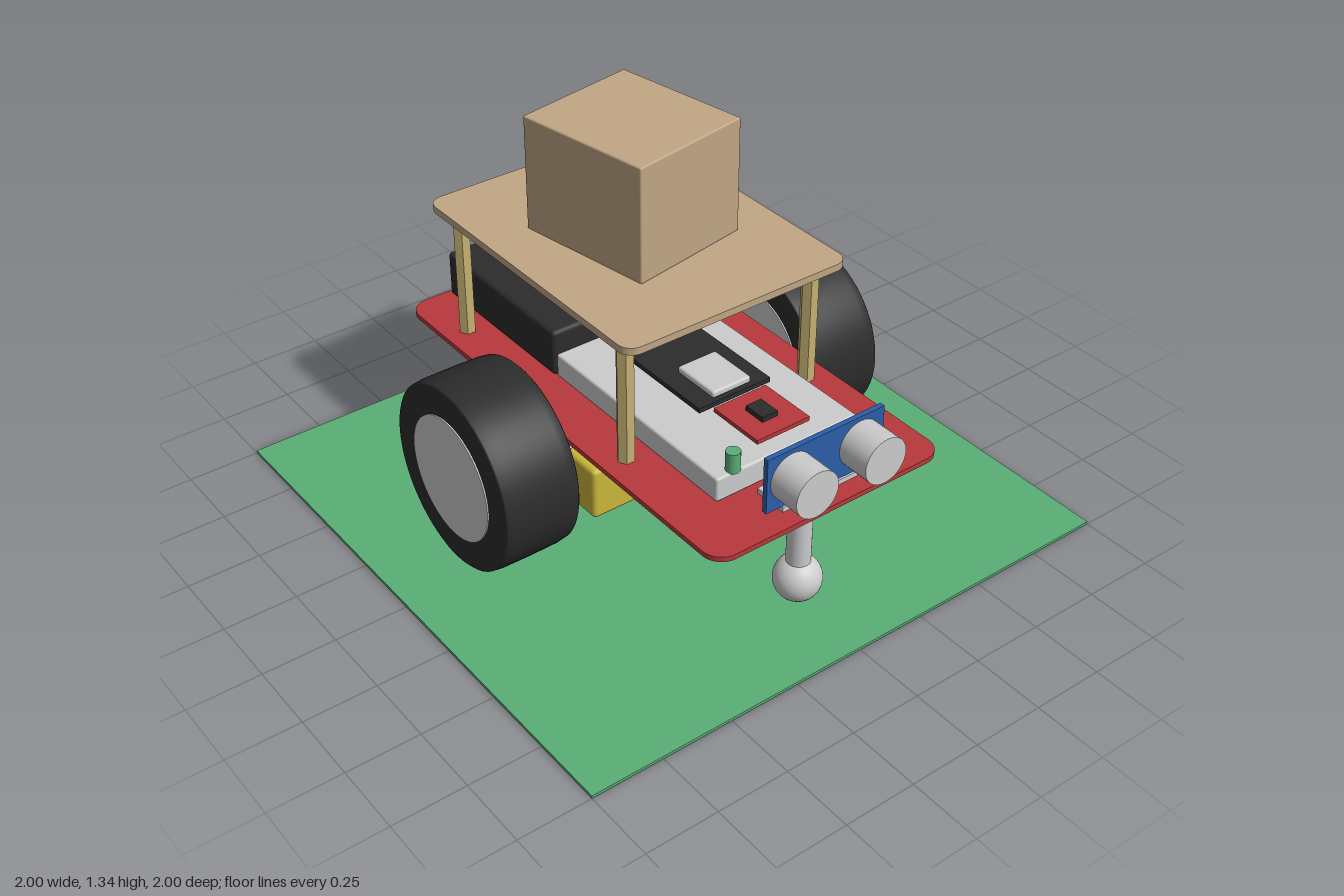
import * as THREE from 'three';
import { RoundedBoxGeometry } from 'three/addons/geometries/RoundedBoxGeometry.js';

const material = (name, color) => {
  const m = new THREE.MeshStandardMaterial({ color });
  m.name = name;
  return m;
};

export function createModel() {
  const model = new THREE.Group();
  model.name = 'robotCar';

  const green = material('green', 0x5aae76);
  const tan = material('cardboardTan', 0xc0a685);
  const red = material('boardRed', 0xb8383c);
  const black = material('black', 0x2c2c2c);
  const yellow = material('motorYellow', 0xcbb63a);
  const blue = material('boardBlue', 0x2c5ea8);
  const grey = material('lightGrey', 0xcccccc);
  const brass = material('brass', 0xc6b273);

  const add = (name, geometry, mat, x, y, z) => {
    const mesh = new THREE.Mesh(geometry, mat);
    mesh.name = name;
    mesh.position.set(x, y, z);
    model.add(mesh);
    return mesh;
  };

  // Box given by its lower and upper bounds, with optional edge rounding
  const block = (name, mat, [x0, x1], [y0, y1], [z0, z1], r = 0) => {
    const size = [x1 - x0, y1 - y0, z1 - z0];
    const geometry = r ? new RoundedBoxGeometry(...size, 2, r) : new THREE.BoxGeometry(...size);
    return add(name, geometry, mat, (x0 + x1) / 2, (y0 + y1) / 2, (z0 + z1) / 2);
  };

  // Horizontal plate with rounded corners
  const plate = (name, mat, [x0, x1], [y0, y1], w, r) => {
    const s = new THREE.Shape();
    s.moveTo(x0 + r, -w);
    s.lineTo(x1 - r, -w);
    s.absarc(x1 - r, -w + r, r, -Math.PI / 2, 0);
    s.absarc(x1 - r, w - r, r, 0, Math.PI / 2);
    s.absarc(x0 + r, w - r, r, Math.PI / 2, Math.PI);
    s.absarc(x0 + r, -w + r, r, Math.PI, Math.PI * 1.5);
    const geometry = new THREE.ExtrudeGeometry(s, { depth: y1 - y0, bevelEnabled: false, curveSegments: 8 });
    geometry.rotateX(-Math.PI / 2);
    return add(name, geometry, mat, 0, y0, 0);
  };

  // Cylinders along each axis
  const rod = (r, length, sides = 32) => new THREE.CylinderGeometry(r, r, length, sides);
  const rodX = (r, length) => rod(r, length).rotateZ(Math.PI / 2);
  const rodZ = (r, length, sides = 32) => rod(r, length, sides).rotateX(Math.PI / 2);

  // Ground and decks
  block('groundMat', green, [-1, 1], [0, 0.01], [-1, 1]);
  plate('chassis', red, [-0.85, 0.85], [0.447, 0.465], 0.445, 0.07);
  plate('upperDeck', tan, [-0.7, 0.4], [0.915, 0.94], 0.425, 0.05);

  // Cargo box, turned slightly
  const cargo = add('cargoBox', new RoundedBoxGeometry(0.498, 0.4, 0.447, 2, 0.006), tan, -0.152, 1.14, 0);
  cargo.rotation.y = 0.175;

  // Hexagonal standoffs
  const hex = rod(0.03, 0.45, 6).toNonIndexed();
  hex.computeVertexNormals();
  for (const x of [-0.605, 0.295])
    for (const z of [-0.36, 0.36]) add('standoff', hex, brass, x, 0.69, z);

  // Battery pack with switch
  block('batteryPack', black, [-0.835, -0.2], [0.465, 0.632], [-0.285, 0.285], 0.015);
  block('switchBody', black, [-0.795, -0.69], [0.63, 0.7], [-0.035, 0.035], 0.008);
  block('switchLever', grey, [-0.76, -0.722], [0.7, 0.74], [-0.018, 0.018]);

  // Breadboard and electronics
  block('breadboard', grey, [-0.2, 0.632], [0.465, 0.55], [-0.275, 0.275], 0.008);
  block('controllerBoard', black, [-0.15, 0.375], [0.585, 0.602], [-0.14, 0.14]);
  block('controllerChip', grey, [0.18, 0.36], [0.602, 0.627], [-0.075, 0.075], 0.008);
  block('controllerPlug', grey, [-0.14, -0.065], [0.602, 0.635], [-0.04, 0.04], 0.006);
  block('driverBoard', red, [0.395, 0.605], [0.585, 0.6], [-0.105, 0.1]);
  block('driverChip', black, [0.463, 0.543], [0.6, 0.618], [-0.03, 0.03]);
  add('indicatorLight', rod(0.024, 0.07, 20), green, 0.617, 0.582, 0.203);

  // Distance sensor
  block('sensorBracket', grey, [0.667, 0.785], [0.465, 0.483], [-0.147, 0.147]);
  block('sensorBoard', blue, [0.782, 0.8], [0.505, 0.7], [-0.225, 0.225]);
  for (const z of [-0.132, 0.132])
    add('sensorEye', rodX(0.08, 0.117), grey, 0.857, 0.605, z);

  // Caster
  add('casterPost', rod(0.04, 0.31), grey, 0.7, 0.295, 0);
  add('casterBall', new THREE.SphereGeometry(0.08, 32, 20), grey, 0.7, 0.087, 0);

  // Tyre section, spun around the axle
  const tyreProfile = [
    [0.21, -0.135], [0.312, -0.135], [0.318, -0.13], [0.322, -0.1], [0.323, 0],
    [0.322, 0.1], [0.318, 0.13], [0.312, 0.135], [0.21, 0.135],
  ].map(([r, h]) => new THREE.Vector2(r, h));
  const tyre = new THREE.LatheGeometry(tyreProfile, 64).rotateX(Math.PI / 2);

  // Drive on each side
  for (const s of [-1, 1]) {
    const span = (a, b) => (s > 0 ? [a, b] : [-b, -a]);
    add('tyre', tyre, black, -0.1, 0.328, s * 0.615);
    add('wheelHub', rodZ(0.215, 0.28, 64), grey, -0.1, 0.328, s * 0.615);
    add('axle', rodZ(0.016, 0.26, 16), grey, -0.1, 0.328, s * 0.36);
    block('motor', yellow, [-0.45, 0.245], [0.235, 0.418], span(0.235, 0.448), 0.015);
    block('motorMount', grey, [-0.3, 0.1], [0.416, 0.447], span(0.24, 0.445));
    add('encoderDisc', rodZ(0.1, 0.01), black, -0.1, 0.326, s * 0.227);
    block('encoderBoard', blue, [-0.2, 0], [0.265, 0.41], span(0.163, 0.236));
  }
  return model;
}
